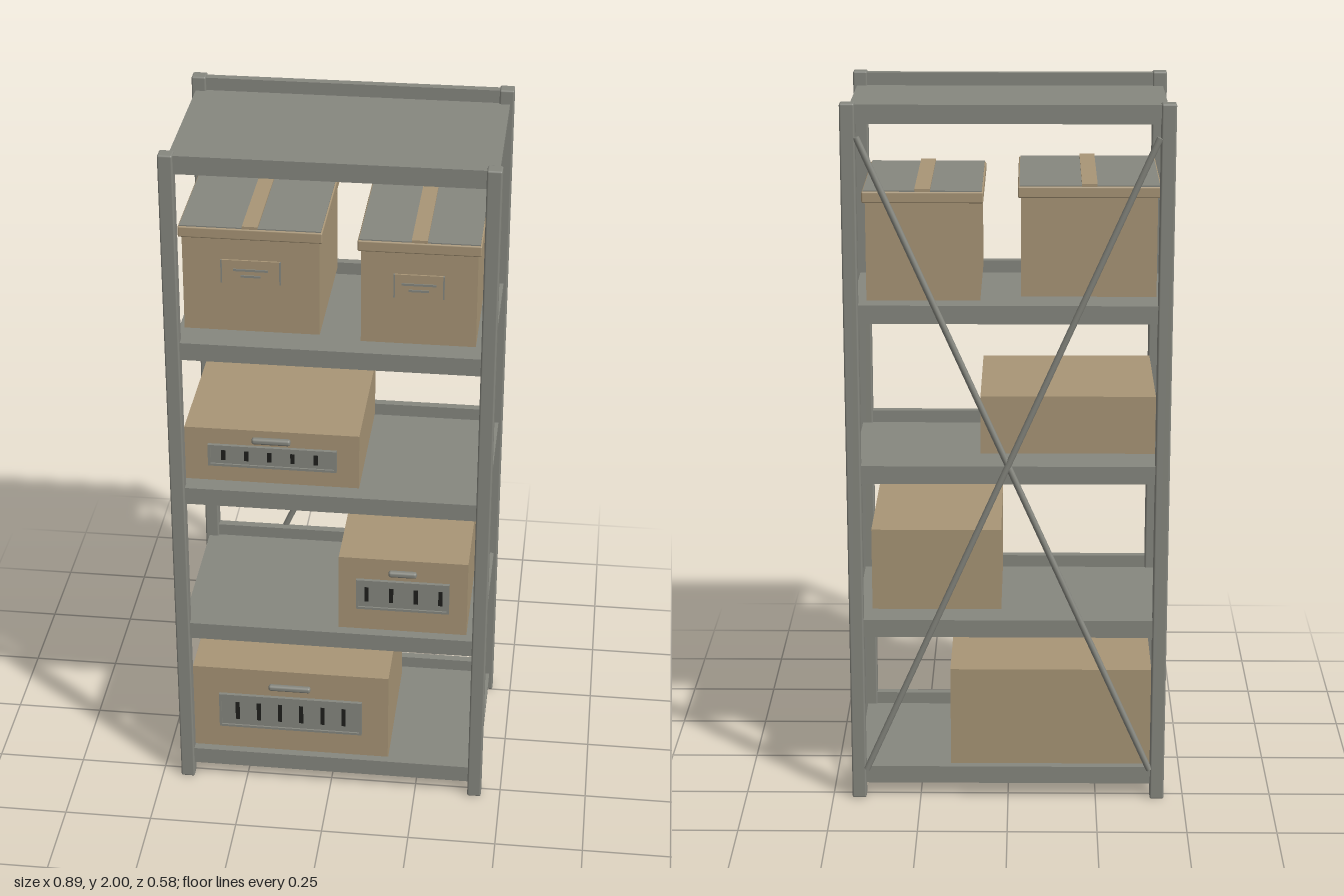
import * as THREE from 'three';
import { RoundedBoxGeometry } from 'three/addons/geometries/RoundedBoxGeometry.js';

const mat = (name, color) => {
  const m = new THREE.MeshStandardMaterial({ color });
  m.name = name;
  return m;
};

export function createModel() {
  const steel = mat('grey steel', 0x86877f);
  const card = mat('tan cardboard', 0xa89576);
  const dark = mat('dark slot', 0x1e1f1c);
  const model = new THREE.Group();
  model.name = 'storageRack';

  // Box given by its lower and upper bounds on each axis
  const block = (parent, name, material, [x0, x1], [y0, y1], [z0, z1], round = 0) => {
    const size = [x1 - x0, y1 - y0, z1 - z0];
    const geometry = round
      ? new RoundedBoxGeometry(...size, 2, round)
      : new THREE.BoxGeometry(...size);
    const mesh = new THREE.Mesh(geometry, material);
    mesh.name = name;
    mesh.position.set((x0 + x1) / 2, (y0 + y1) / 2, (z0 + z1) / 2);
    parent.add(mesh);
    return mesh;
  };
  const group = (name) => {
    const g = new THREE.Group();
    g.name = name;
    model.add(g);
    return g;
  };

  // Corner posts
  for (const x of [-0.425, 0.425]) {
    for (const z of [-0.267, 0.27]) {
      block(model, 'post', steel, [x - 0.02, x + 0.02], [0, 2], [z - 0.02, z + 0.02], 0.005);
    }
  }

  // Shelves: thin deck with a beam along the front and back
  for (const y of [0.045, 0.492, 0.945, 1.4, 1.945]) {
    const shelf = group('shelf');
    block(shelf, 'deck', steel, [-0.434, 0.434], [y, y + 0.015], [-0.27, 0.27]);
    block(shelf, 'frontBeam', steel, [-0.434, 0.434], [y, y + 0.051], [0.255, 0.279]);
    block(shelf, 'backBeam', steel, [-0.434, 0.434], [y, y + 0.051], [-0.279, -0.255]);
  }

  // Crossed rods on the back
  for (const side of [-1, 1]) {
    const a = new THREE.Vector3(-0.402 * side, 0.09, -0.284 + side * 0.002);
    const b = new THREE.Vector3(0.402 * side, 1.91, -0.284 + side * 0.002);
    const brace = new THREE.Mesh(new THREE.CylinderGeometry(0.009, 0.009, a.distanceTo(b), 10), steel);
    brace.name = 'crossBrace';
    brace.position.copy(a).lerp(b, 0.5);
    brace.quaternion.setFromUnitVectors(new THREE.Vector3(0, 1, 0), b.clone().sub(a).normalize());
    model.add(brace);
  }

  // Cartons with a framed slotted plate and a pull handle
  const cartons = [
    { x: [-0.408, 0.165], y: [0.07, 0.365], back: -0.207, plate: [-0.332, 0.088], py: [0.163, 0.277],
      slots: [-0.278, 0.035, 6], sy: [0.19, 0.25], pull: [-0.185, -0.062], pullY: 0.312 },
    { x: [0.02, 0.386], y: [0.537, 0.775], back: -0.177, plate: [0.07, 0.335], py: [0.61, 0.707],
      slots: [0.1, 0.31, 4], sy: [0.635, 0.682], pull: [0.162, 0.242], pullY: 0.734 },
    { x: [-0.408, 0.077], y: [1.005, 1.17], back: -0.187, plate: [-0.343, 0.015], py: [1.056, 1.122],
      slots: [-0.3, -0.043, 5], sy: [1.075, 1.105], pull: [-0.22, -0.112], pullY: 1.142 },
  ];
  for (const c of cartons) {
    const g = group('carton');
    const [l, r] = c.plate, [b, t] = c.py, rim = 0.007;
    block(g, 'cartonBody', card, c.x, c.y, [c.back, 0.24]);
    block(g, 'slottedPlate', steel, c.plate, c.py, [0.239, 0.245]);
    block(g, 'plateRim', steel, [l, r], [t - rim, t], [0.24, 0.25]);
    block(g, 'plateRim', steel, [l, r], [b, b + rim], [0.24, 0.25]);
    block(g, 'plateRim', steel, [l, l + rim], [b, t], [0.24, 0.25]);
    block(g, 'plateRim', steel, [r - rim, r], [b, t], [0.24, 0.25]);
    block(g, 'pullHandle', steel, c.pull, [c.pullY - 0.009, c.pullY + 0.009], [0.238, 0.256], 0.007);
    const [s0, s1, n] = c.slots;
    for (let i = 0; i < n; i++) {
      const x = s0 + ((s1 - s0) * i) / (n - 1);
      block(g, 'slot', dark, [x - 0.006, x + 0.006], c.sy, [0.243, 0.247]);
    }
  }

  // Lidded boxes with a grey top, a tape strip and a front label
  const lidded = [
    { x: [-0.403, -0.035], y: [1.46, 1.765], label: [-0.298, -0.14], ly: [1.605, 1.672] },
    { x: [0.076, 0.386], y: [1.448, 1.75], label: [0.165, 0.297], ly: [1.588, 1.655] },
  ];
  for (const c of lidded) {
    const g = group('liddedBox');
    const [x0, x1] = c.x, top = c.y[1], mid = (x0 + x1) / 2;
    block(g, 'boxBody', card, c.x, [c.y[0], top - 0.01], [-0.21, 0.205]);
    block(g, 'lid', card, [x0 - 0.009, x1 + 0.009], [top - 0.031, top], [-0.219, 0.214], 0.004);
    block(g, 'lidTop', steel, [x0 - 0.005, x1 + 0.005], [top - 0.002, top + 0.003], [-0.215, 0.21]);
    block(g, 'tape', card, [mid - 0.021, mid + 0.021], [top, top + 0.008], [-0.217, 0.212]);
    const [l, r] = c.label, [b, t] = c.ly, lm = (l + r) / 2, ym = (b + t) / 2;
    block(g, 'label', card, c.label, c.ly, [0.204, 0.21]);
    for (const x of [l, r]) block(g, 'labelEdge', steel, [x - 0.002, x + 0.002], c.ly, [0.204, 0.212]);
    // Plain ruled bars on the label
    [[0.062, 0.006], [0.036, -0.012]].forEach(([half, dy]) =>
      block(g, 'labelBar', steel, [lm - half * 0.75, lm + half * 0.75], [ym + dy - 0.003, ym + dy + 0.003], [0.208, 0.213]));
  }
  return model;
}
